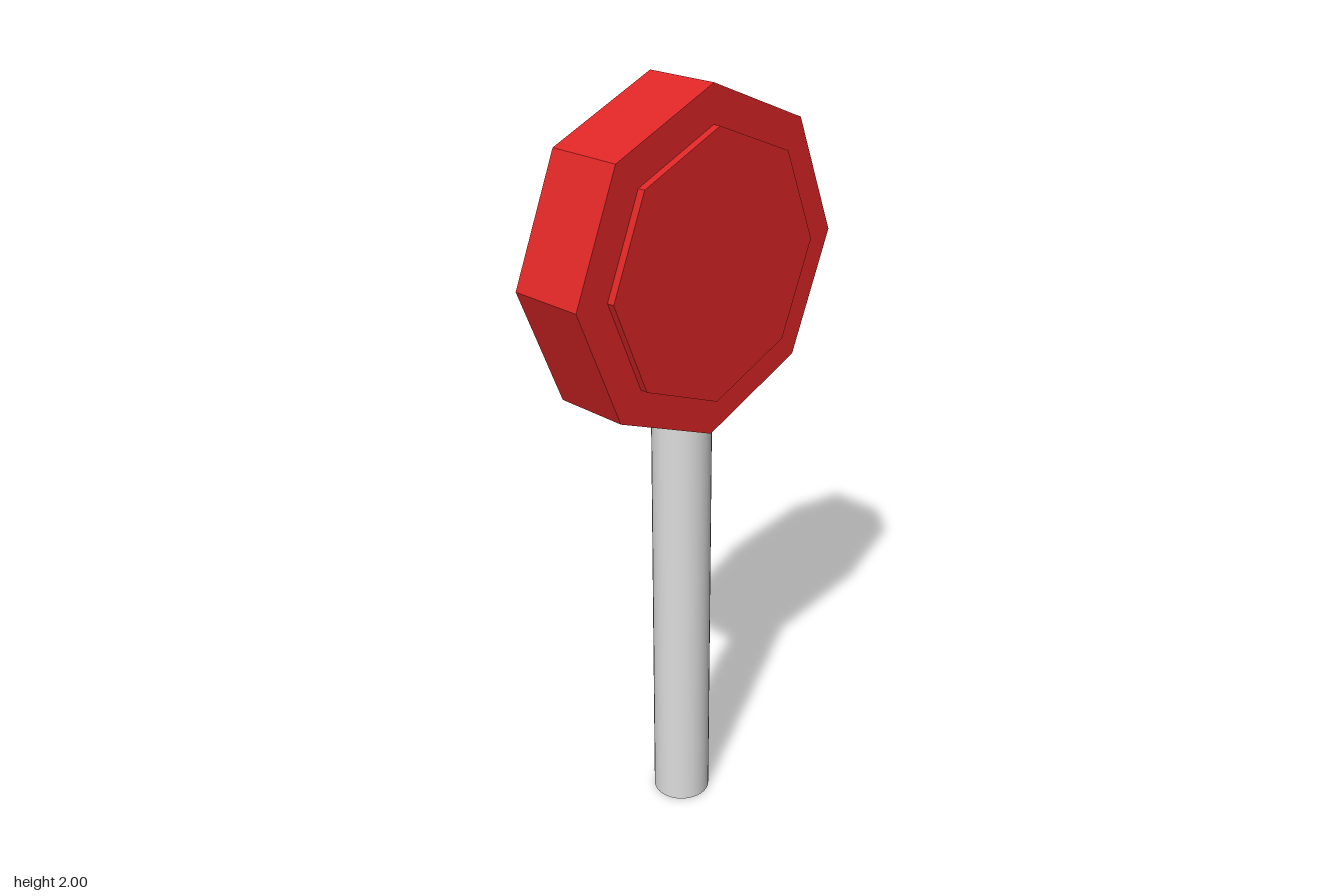
import * as THREE from 'three';

export function createModel() {
  const model = new THREE.Group();
  model.name = 'roundSignOnPole';
  const red = new THREE.MeshStandardMaterial({ color: 0xdd2525 });
  red.name = 'red';
  red.flatShading = true;
  const grey = new THREE.MeshStandardMaterial({ color: 0xdddddd });
  grey.name = 'light grey';

  const headY = 1.57;

  // Octagonal prism lying along x, one corner pointing up
  function octagon(name, radius, width, x) {
    const geometry = new THREE.CylinderGeometry(radius, radius, width, 8);
    geometry.rotateZ(Math.PI / 2);
    const mesh = new THREE.Mesh(geometry, red);
    mesh.name = name;
    mesh.position.set(x, headY, 0);
    model.add(mesh);
  }

  // Head with a raised plate on each side
  octagon('head', 0.43, 0.202, 0);
  for (const [name, side] of [['leftPlate', 1], ['rightPlate', -1]]) {
    octagon(name, 0.337, 0.03, side * 0.106);
  }

  // Pole, its top sunk into the head
  const height = 1.25;
  const pole = new THREE.Mesh(new THREE.CylinderGeometry(0.077, 0.077, height, 32), grey);
  pole.name = 'pole';
  pole.position.y = height / 2;
  model.add(pole);

  return model;
}
